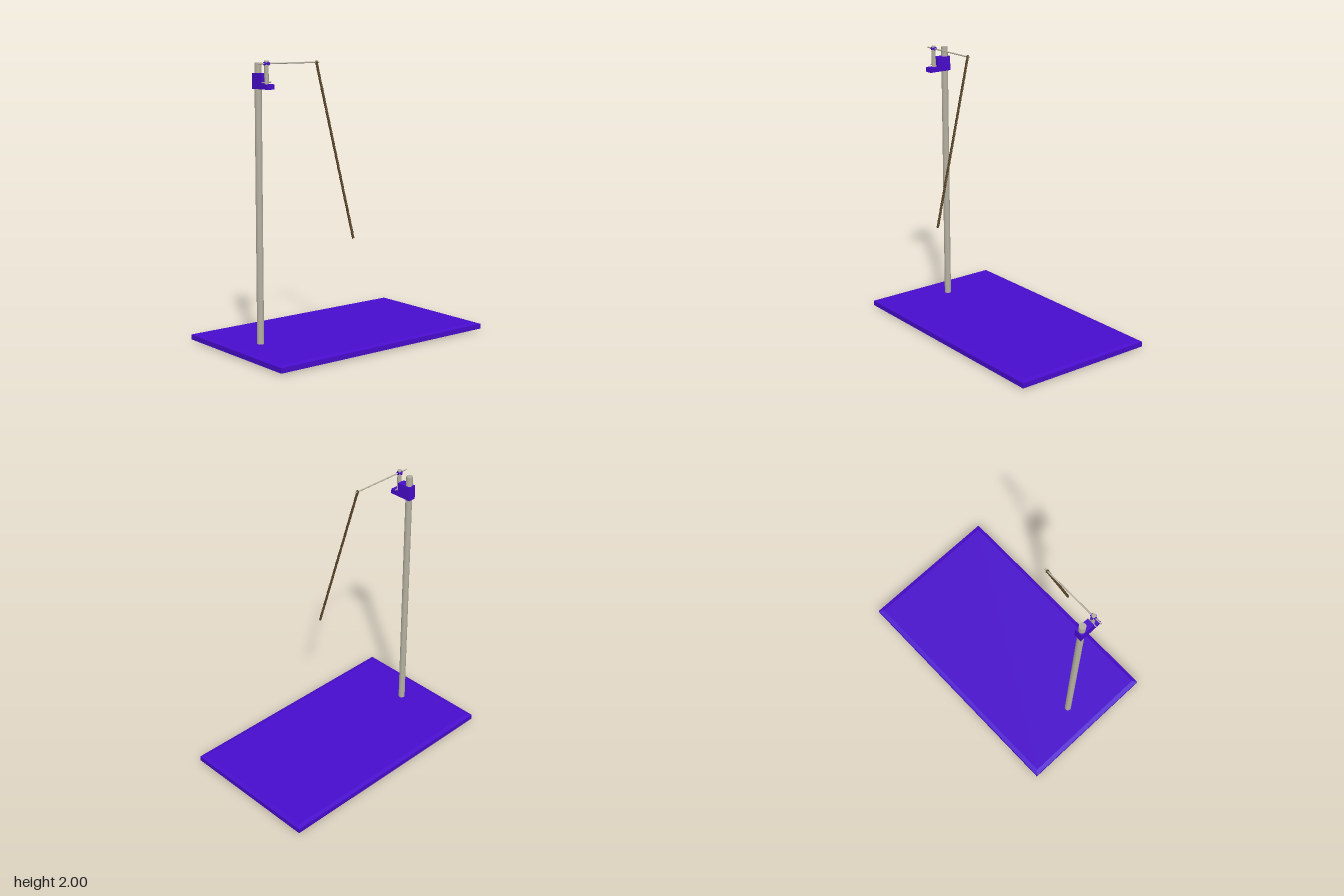
import * as THREE from 'three';

const purple = new THREE.MeshStandardMaterial({ color: 0x480ccc });
const metal = new THREE.MeshStandardMaterial({ color: 0xb4b0a0 });
const brown = new THREE.MeshStandardMaterial({ color: 0x5a4426 });

function add(group, name, geometry, material, x = 0, y = 0, z = 0) {
  const mesh = new THREE.Mesh(geometry, material);
  mesh.name = name;
  mesh.position.set(x, y, z);
  group.add(mesh);
  return mesh;
}

// Round bar between two points
function bar(group, name, a, b, radius, material, sides = 24) {
  const dir = b.clone().sub(a);
  const mesh = add(group, name, new THREE.CylinderGeometry(radius, radius, dir.length(), sides), material);
  mesh.position.copy(a).add(b).multiplyScalar(0.5);
  mesh.quaternion.setFromUnitVectors(new THREE.Vector3(0, 1, 0), dir.normalize());
  return mesh;
}

// One strand of a twisted rope hanging down -y
class Strand extends THREE.Curve {
  constructor(length, radius, turns, phase) {
    super();
    Object.assign(this, { length, radius, turns, phase });
  }
  getPoint(t, target = new THREE.Vector3()) {
    const a = this.phase + t * this.turns * Math.PI * 2;
    return target.set(Math.cos(a) * this.radius, -t * this.length, Math.sin(a) * this.radius);
  }
}

export function createModel() {
  const model = new THREE.Group();
  model.name = 'pendulumStand';
  const v = (x, y, z) => new THREE.Vector3(x, y, z);
  const postZ = 0.69, pinX = 0.097;

  // Base plate with shallow chamfers above and below
  const w = 0.51, d = 0.88;
  const plate = new THREE.Shape([[-w, -d], [w, -d], [w, d], [-w, d]].map(p => new THREE.Vector2(...p)));
  const baseGeo = new THREE.ExtrudeGeometry(plate, {
    depth: 0.036, bevelEnabled: true, bevelSegments: 1, bevelThickness: 0.01, bevelSize: 0.03,
  });
  baseGeo.rotateX(-Math.PI / 2);
  add(model, 'basePlate', baseGeo, purple, 0, 0.011, 0);

  // Upright post
  bar(model, 'post', v(0, 0.03, postZ), v(0, 1.985, postZ), 0.024, metal, 32);

  // Clamp block with a low shelf, cut as an L profile
  const clamp = new THREE.Shape([[-0.03, 1.81], [0.145, 1.81], [0.145, 1.845], [0.08, 1.845],
    [0.08, 1.915], [-0.03, 1.915]].map(p => new THREE.Vector2(...p)));
  add(model, 'clamp', new THREE.ExtrudeGeometry(clamp, { depth: 0.058, bevelEnabled: false }),
    purple, 0, 0, postZ - 0.029);

  // Short pin standing on the shelf, with its cross pin
  bar(model, 'holderPin', v(pinX, 1.83, postZ), v(pinX, 2, postZ), 0.015, metal);
  bar(model, 'crossPin', v(pinX, 1.857, postZ - 0.038), v(pinX, 1.857, postZ + 0.038), 0.004, metal, 12);

  // Horizontal rod and the small screw that holds it
  bar(model, 'horizontalRod', v(pinX, 1.98, 0.25), v(pinX, 1.98, 0.76), 0.005, metal, 16);
  bar(model, 'clampScrew', v(pinX - 0.022, 1.98, postZ), v(pinX + 0.018, 1.98, postZ), 0.01, purple, 16);
  bar(model, 'rodCollar', v(pinX, 1.98, postZ - 0.02), v(pinX, 1.98, postZ + 0.02), 0.012, purple, 16);

  // Twisted cord swung out to one side
  const top = v(pinX, 1.98, 0.272), end = v(0.42, 0.8, 0.21);
  const dir = end.clone().sub(top), length = dir.length();
  const cord = new THREE.Group();
  cord.name = 'cord';
  for (let i = 0; i < 3; i++) {
    const strand = new Strand(length, 0.005, 30, i * Math.PI * 2 / 3);
    add(cord, 'cordStrand', new THREE.TubeGeometry(strand, 360, 0.0048, 6), brown);
  }
  bar(cord, 'cordCore', v(0, 0, 0), v(0, -length, 0), 0.006, brown, 8);
  cord.position.copy(top);
  cord.quaternion.setFromUnitVectors(v(0, -1, 0), dir.normalize());
  model.add(cord);

  // Loop of cord around the rod
  add(model, 'cordLoop', new THREE.TorusGeometry(0.008, 0.005, 8, 20), brown, top.x, top.y, top.z);

  return model;
}
